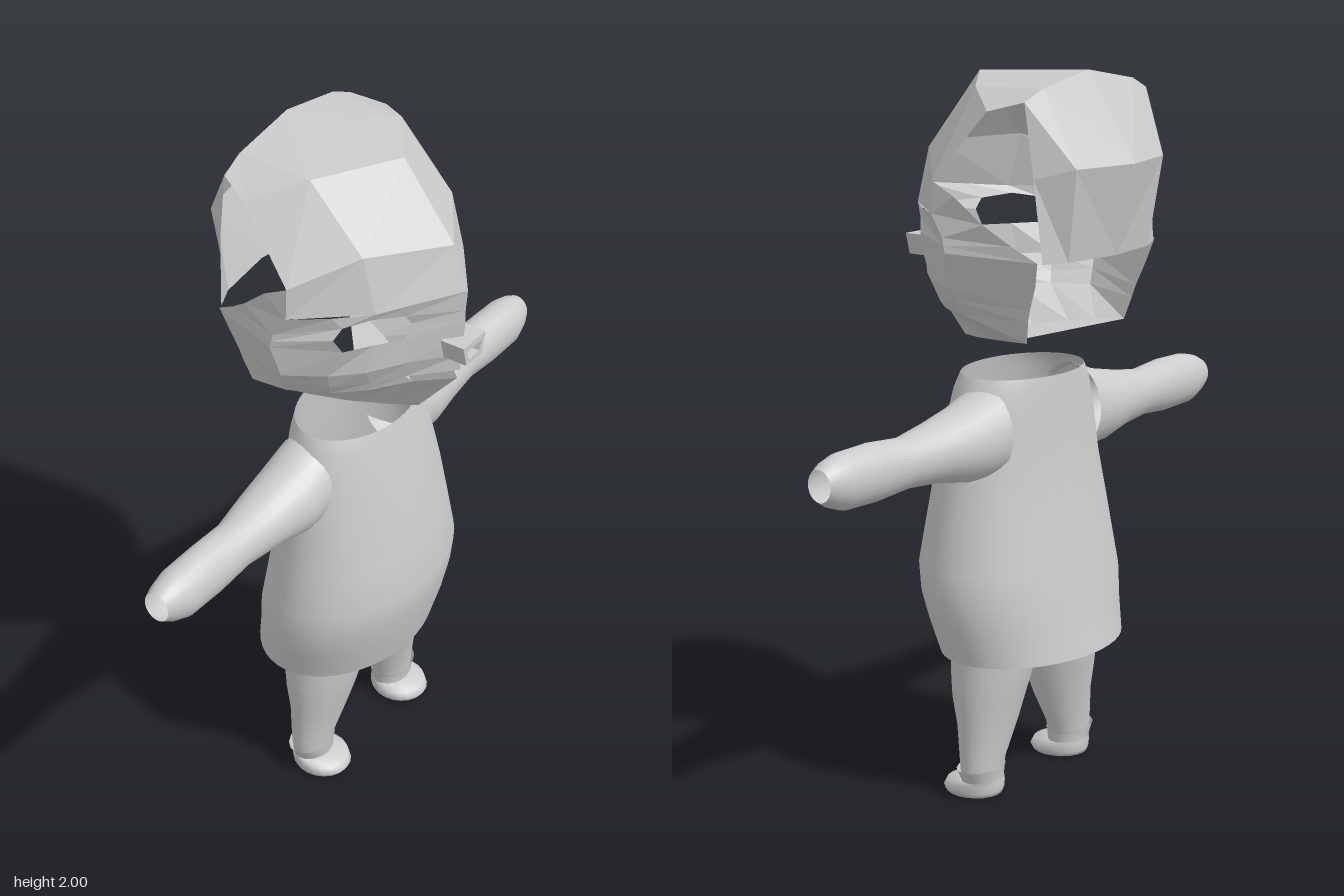
import * as THREE from 'three';

const smooth = new THREE.MeshStandardMaterial({ color: 0xcccccc, side: THREE.DoubleSide });
const faceted = new THREE.MeshStandardMaterial({ color: 0xcccccc, side: THREE.DoubleSide, flatShading: true });

function buildMesh(name, positions, index, material) {
  const geo = new THREE.BufferGeometry();
  geo.setAttribute('position', new THREE.Float32BufferAttribute(positions, 3));
  geo.setIndex(index);
  geo.computeVertexNormals();
  const mesh = new THREE.Mesh(geo, material);
  mesh.name = name;
  return mesh;
}

// Open tube through elliptical sections [y, cx, cz, rx, rz], listed bottom to top
function loft(name, sections, n = 32) {
  const pos = [], idx = [];
  sections.forEach(([y, cx, cz, rx, rz], j) => {
    for (let i = 0; i < n; i++) {
      const t = (i / n) * Math.PI * 2;
      pos.push(cx + rx * Math.cos(t), y, cz + rz * Math.sin(t));
      if (j + 1 < sections.length) {
        const a = j * n + i, b = j * n + ((i + 1) % n);
        idx.push(a, a + n, b, b, a + n, b + n);
      }
    }
  });
  return buildMesh(name, pos, idx, smooth);
}

// Half shell from rows of points (midline outwards), mirrored; hole(r, c) drops a cell
function mirroredShell(name, rows, hole = () => false) {
  const pos = [], idx = [], cols = rows[0].length, count = rows.length * cols;
  for (const s of [1, -1]) rows.flat().forEach(([x, y, z]) => pos.push(s * x, y, z));
  for (let r = 0; r + 1 < rows.length; r++) {
    for (let c = 0; c + 1 < cols; c++) {
      if (hole(r, c)) continue;
      const a = r * cols + c, b = a + cols;
      idx.push(a, b, b + 1, a, b + 1, a + 1);
      const m = a + count, k = b + count;
      idx.push(m, k + 1, k, m, m + 1, k + 1);
    }
  }
  return buildMesh(name, pos, idx, faceted);
}

function createHead() {
  const head = new THREE.Group();
  head.name = 'head';

  // Skull strip: nape, back, crown, forehead, brow
  const skull = [
    [[0, 1.52, -0.315], [0.18, 1.52, -0.29], [0.25, 1.52, -0.258]],
    [[0, 1.765, -0.37], [0.195, 1.765, -0.325], [0.265, 1.74, -0.24]],
    [[0, 2.0, -0.22], [0.2, 1.965, -0.22], [0.27, 1.935, -0.215]],
    [[0, 1.98, 0.145], [0.2, 1.96, 0.0], [0.31, 1.91, -0.125]],
    [[0, 1.78, 0.3], [0.2, 1.79, 0.16], [0.345, 1.725, 0.03]],
    [[0, 1.66, 0.345], [0.2, 1.64, 0.2], [0.35, 1.64, 0.03]],
  ];
  head.add(mirroredShell('skull', skull));

  // Face rows run from the midline round to the back of the jaw
  const upper = [
    [[0, 1.66, 0.345], [0.1, 1.65, 0.272], [0.2, 1.64, 0.2], [0.28, 1.64, 0.12], [0.35, 1.64, 0.03], [0.345, 1.69, -0.04]],
    [[0, 1.6, 0.34], [0.125, 1.61, 0.24], [0.2, 1.62, 0.19], [0.26, 1.607, 0.14], [0.353, 1.58, -0.01], [0.325, 1.62, -0.12]],
    [[0, 1.57, 0.34], [0.105, 1.58, 0.245], [0.19, 1.58, 0.19], [0.28, 1.575, 0.125], [0.355, 1.56, -0.015], [0.29, 1.565, -0.19]],
    [[0, 1.53, 0.338], [0.12, 1.535, 0.235], [0.19, 1.535, 0.185], [0.26, 1.535, 0.14], [0.355, 1.54, -0.02], [0.265, 1.525, -0.253]],
  ];
  const lower = [
    [[0, 1.46, 0.33], [0.11, 1.46, 0.24], [0.2, 1.45, 0.17], [0.27, 1.45, 0.1], [0.335, 1.45, 0], [0.25, 1.46, -0.235]],
    [[0, 1.412, 0.33], [0.1, 1.405, 0.225], [0.17, 1.4, 0.165], [0.25, 1.4, 0.09], [0.312, 1.41, -0.01], [0.24, 1.395, -0.21]],
    [[0, 1.382, 0.32], [0.08, 1.382, 0.235], [0.165, 1.37, 0.155], [0.235, 1.37, 0.08], [0.288, 1.37, -0.02], [0.235, 1.36, -0.2]],
    [[0, 1.245, 0.2], [0.06, 1.26, 0.14], [0.12, 1.272, 0.06], [0.17, 1.285, -0.03], [0.2, 1.293, -0.1], [0.22, 1.3, -0.185]],
  ];
  const isEye = (r, c) => (r === 1 || r === 2) && (c === 1 || c === 2);
  const isMouth = (r, c) => r === 5 && c === 0;
  head.add(mirroredShell('face', [...upper, ...lower], (r, c) => isEye(r, c) || isMouth(r, c)));

  // Temple joins the brow corner to the top of the jaw
  head.add(mirroredShell('temple', [
    [[0.345, 1.725, 0.03], [0.345, 1.725, 0.03]],
    [[0.35, 1.64, 0.03], [0.345, 1.69, -0.04]],
  ]));

  // Underside of the chin fans in to the throat
  const rim = lower[3], throat = [0, 1.255, 0];
  const points = [throat, ...rim, ...rim.map(([x, y, z]) => [-x, y, z])].flat();
  const fan = [];
  for (let i = 1; i < rim.length; i++) fan.push(i, 0, i + 1, 0, i + 6, i + 7);
  head.add(buildMesh('chinUnderside', points, fan, faceted));

  // Hollow, tapered nose
  const trapezoid = (Type, top, bottom, y1, y0) => new Type([
    new THREE.Vector2(-bottom, y0), new THREE.Vector2(bottom, y0),
    new THREE.Vector2(top, y1), new THREE.Vector2(-top, y1),
  ]);
  const outline = trapezoid(THREE.Shape, 0.052, 0.036, 1.52, 1.46);
  outline.holes.push(trapezoid(THREE.Path, 0.034, 0.024, 1.503, 1.474));
  const nose = new THREE.Mesh(new THREE.ExtrudeGeometry(outline, { depth: 0.07, bevelEnabled: false }), faceted);
  nose.position.z = 0.3;
  nose.name = 'nose';
  head.add(nose);
  return head;
}

// Arm and leg of the model's left side
function createLimbs() {
  const side = new THREE.Group();

  // Sections run outwards along x once turned
  const arm = loft('arm', [
    [0.2, -1.035, -0.02, 0.125, 0.105],
    [0.3, -1.02, -0.02, 0.105, 0.1],
    [0.41, -1.02, -0.02, 0.082, 0.084],
    [0.53, -1.015, -0.018, 0.068, 0.064],
    [0.65, -1.015, -0.015, 0.078, 0.063],
    [0.77, -1.015, -0.015, 0.075, 0.062],
    [0.82, -1.018, -0.016, 0.06, 0.05],
    [0.85, -1.02, -0.018, 0.043, 0.038],
  ], 24);
  arm.rotation.z = -Math.PI / 2;
  side.add(arm);

  side.add(loft('leg', [
    [0.04, 0.2, -0.015, 0.068, 0.052],
    [0.1, 0.2, -0.015, 0.075, 0.055],
    [0.2, 0.173, -0.012, 0.098, 0.075],
    [0.28, 0.162, -0.01, 0.116, 0.094],
    [0.34, 0.15, -0.01, 0.126, 0.105],
    [0.4, 0.137, -0.01, 0.135, 0.115],
    [0.46, 0.135, -0.01, 0.135, 0.12],
  ], 24));

  side.add(loft('cuff', [
    [0.045, 0.205, -0.015, 0.064, 0.052],
    [0.082, 0.207, -0.015, 0.083, 0.058],
  ], 16));

  side.add(loft('shoe', [
    [0, 0.2, 0.015, 0.001, 0.001],
    [0.002, 0.2, 0.015, 0.074, 0.082],
    [0.014, 0.2, 0.016, 0.08, 0.088],
    [0.034, 0.2, 0.01, 0.08, 0.082],
    [0.046, 0.202, -0.015, 0.07, 0.056],
  ], 20));
  return side;
}

export function createModel() {
  const model = new THREE.Group();
  model.name = 'figure';
  model.add(createHead());

  // Tunic, open at neck and hem
  model.add(loft('tunic', [
    [0.405, 0, -0.035, 0.305, 0.22],
    [0.5, 0, -0.012, 0.327, 0.224],
    [0.58, 0, 0.002, 0.345, 0.226],
    [0.66, 0, 0.015, 0.338, 0.225],
    [0.78, 0, 0.015, 0.316, 0.204],
    [0.92, 0, 0.015, 0.288, 0.18],
    [1.05, 0, 0.006, 0.26, 0.163],
    [1.14, 0, 0.001, 0.235, 0.149],
    [1.18, 0, -0.002, 0.208, 0.143],
  ], 48));

  // Mirrored limbs
  for (const s of [1, -1]) {
    const limbs = createLimbs();
    limbs.name = s > 0 ? 'leftLimbs' : 'rightLimbs';
    limbs.scale.x = s;
    model.add(limbs);
  }
  return model;
}
